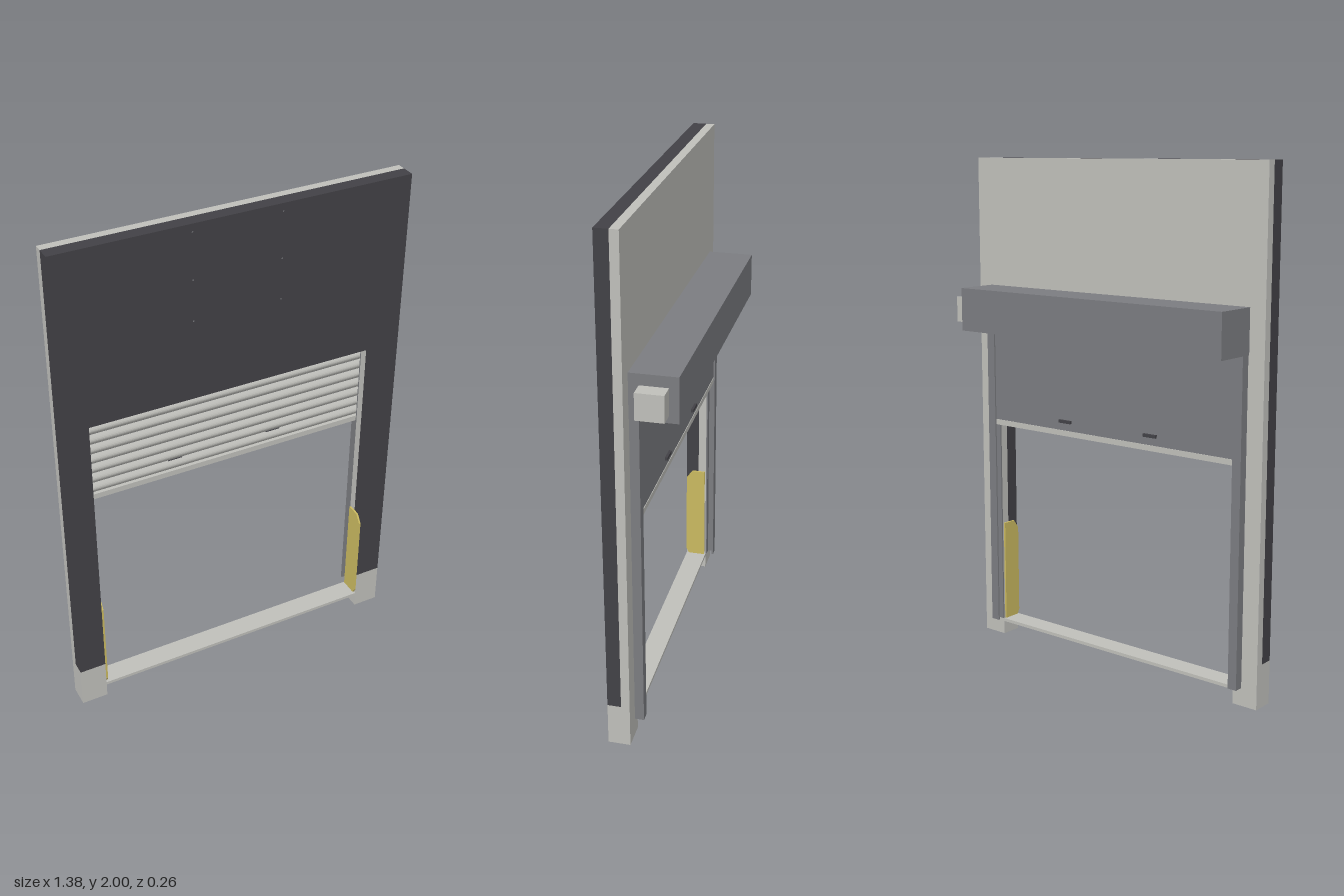
import * as THREE from 'three';

const mat = (name, color, extra = {}) => {
  const m = new THREE.MeshStandardMaterial({ color, ...extra });
  m.name = name;
  return m;
};

export function createModel() {
  const dark = mat('charcoal', 0x424146);
  const light = mat('lightGrey', 0xbfbfba);
  const grey = mat('midGrey', 0x7b7c80);
  const yellow = mat('yellow', 0xcab960);
  const group = new THREE.Group();

  const add = (name, geometry, material) => {
    const mesh = new THREE.Mesh(geometry, material);
    mesh.name = name;
    group.add(mesh);
    return mesh;
  };
  // Box given by its extents on each axis
  const box = (name, material, [x0, x1], [y0, y1], [z0, z1]) => {
    const g = new THREE.BoxGeometry(x1 - x0, y1 - y0, z1 - z0);
    g.translate((x0 + x1) / 2, (y0 + y1) / 2, (z0 + z1) / 2);
    return add(name, g, material);
  };
  // Outline in (z, y), extruded along x
  const extrudeX = (name, material, points, x0, x1) => {
    const shape = new THREE.Shape(points.map(([z, y]) => new THREE.Vector2(-z, y)));
    const g = new THREE.ExtrudeGeometry(shape, { depth: x1 - x0, bevelEnabled: false });
    g.rotateY(Math.PI / 2).translate(x0, 0, 0);
    return add(name, g, material);
  };

  const W = 0.69, IN = 0.585, HEAD = 1.31;

  // Wall layers: an upside-down U around the doorway
  const wall = (name, material, y0, z0, z1) => {
    const pts = [[-W, y0], [-IN, y0], [-IN, HEAD], [IN, HEAD], [IN, y0], [W, y0], [W, 2], [-W, 2]];
    const shape = new THREE.Shape(pts.map(p => new THREE.Vector2(...p)));
    const g = new THREE.ExtrudeGeometry(shape, { depth: z1 - z0, bevelEnabled: false });
    add(name, g.translate(0, 0, z0), material);
  };
  wall('backWall', light, 0, 0.045, 0.078);
  wall('frontCladding', dark, 0.17, 0.078, 0.13);

  // Sill across the doorway
  box('sill', light, [-IN, IN], [0.055, 0.068], [0.045, 0.13]);

  for (const s of [-1, 1]) {
    const span = (a, b) => (s > 0 ? [a, b] : [-b, -a]);
    // Plinth under the cladding
    box('plinth', light, span(IN, W), [0, 0.17], [0.078, 0.13]);

    // Guide rail: channel open towards the doorway
    box('railWeb', grey, span(0.614, 0.622), [0.07, 1.33], [0.01, 0.045]);
    box('railBackFlange', grey, span(IN, 0.614), [0.07, 1.33], [0.01, 0.016]);
    box('railFrontFlange', grey, span(IN, 0.614), [0.07, 1.33], [0.039, 0.045]);

    // Yellow guard plate with chamfered front corners
    const [x0, x1] = span(0.577, 0.5845);
    extrudeX('guardPlate', yellow,
      [[0.05, 0.07], [0.12, 0.07], [0.13, 0.09], [0.13, 0.455], [0.105, 0.49], [0.05, 0.49]], x0, x1);

    // Latch on the inside of the curtain
    box('latch', dark, [s * 0.21 - 0.03, s * 0.21 + 0.03], [0.973, 0.985], [0.009, 0.026]);
  }

  // Curved shutter slats
  const count = 9, bottom = 0.945, pitch = 0.043, steps = 8;
  for (let i = 0; i < count; i++) {
    const arc = (z) => Array.from({ length: steps + 1 }, (_, k) =>
      [z + 0.011 * Math.sin(Math.PI * k / steps), bottom + pitch * (i + 0.92 * k / steps)]);
    extrudeX('slat', light, [...arc(0.025), ...arc(0.019).reverse()], -0.61, 0.61);
  }
  // Thin joints between the slats and the bottom bar
  box('slatJoints', grey, [-0.61, 0.61], [bottom - 0.003, 1.34], [0.019, 0.022]);
  box('bottomBar', light, [-0.61, 0.61], [0.92, bottom - 0.003], [0.017, 0.037]);

  // Roller housing with drive box on the left end
  box('rollerHousing', grey, [-0.625, 0.625], [1.322, 1.492], [-0.13, 0.045]);
  box('driveBox', light, [0.625, 0.687], [1.35, 1.45], [-0.095, 0.008]);

  // Small fixings on the cladding
  for (const x of [-0.175, 0.17]) for (const y of [1.63, 1.79, 1.97]) {
    add('fixing', new THREE.CircleGeometry(0.003, 8).translate(x, y, 0.1305), grey);
  }
  return group;
}
